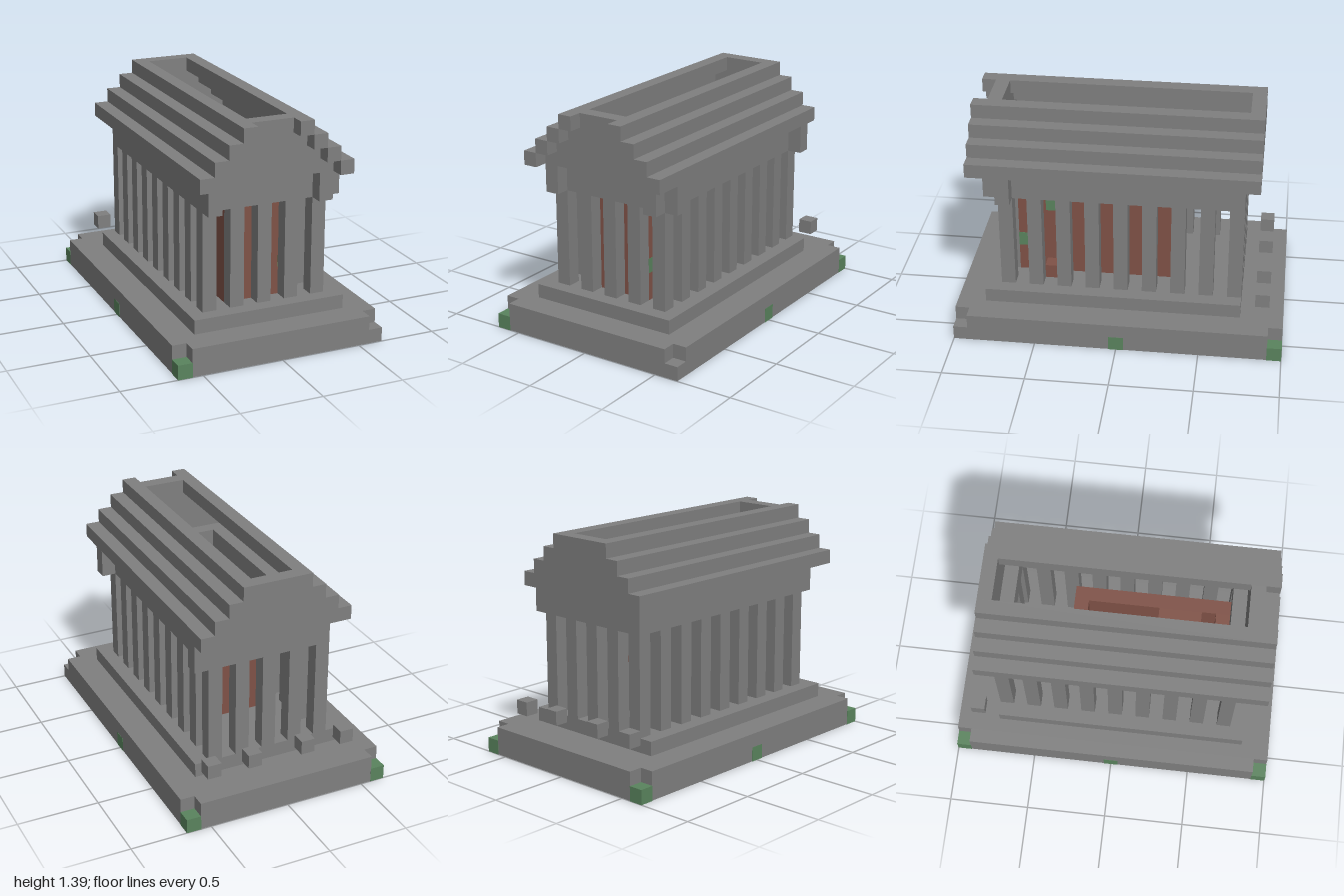
import * as THREE from 'three';

const U = 2 / 23; // edge of one building block

export function createModel() {
  const model = new THREE.Group();
  model.name = 'ruinedTemple';
  const stone = new THREE.MeshStandardMaterial({ name: 'grey stone', color: 0x808080 });
  const brick = new THREE.MeshStandardMaterial({ name: 'red brick', color: 0x805247 });
  const moss = new THREE.MeshStandardMaterial({ name: 'green moss', color: 0x5a845e });

  // Box covering an inclusive range of block indices; x and z are centred, y counts up from 0
  function blocks(name, material, [x0, x1], [y0, y1], [z0, z1], grow = 0) {
    const geometry = new THREE.BoxGeometry(
      (x1 - x0 + 1) * U + grow, (y1 - y0 + 1) * U + grow, (z1 - z0 + 1) * U + grow);
    const mesh = new THREE.Mesh(geometry, material);
    mesh.name = name;
    mesh.position.set((x0 + x1) / 2 * U, (y0 + y1 + 1) / 2 * U, (z0 + z1) / 2 * U);
    model.add(mesh);
  }
  const single = (name, material, x, y, z, grow) =>
    blocks(name, material, [x, x], [y, y], [z, z], grow);

  // Stepped base, second step notched at its corners
  blocks('baseSlab', stone, [-7, 7], [0, 0], [-11, 11]);
  blocks('baseStep', stone, [-6, 6], [1, 1], [-11, 11]);
  for (const s of [-7, 7]) blocks('baseStepSide', stone, [s, s], [1, 1], [-10, 10]);
  blocks('platform', stone, [-5, 5], [2, 2], [-8, 9]);

  // Mossy blocks at the corners, side middles and underside of the base
  const mossSpots = [
    [-7, 11], [-7, -11], [7, -11], [7, 0], [-7, 0],
    [1, -5], [-1, -7], [-3, -8], [2, -3], [4, 1], [3, 2], [6, 6], [3, 4], [-2, -4],
    [-6, -8], [-6, -7], [-5, -5], [-6, -4], [3, 8], [2, 9], [1, 4], [1, 5], [-3, 1],
    [-5, -3], [-5, -1], [-1, 10], [-4, 8], [-6, 4],
  ];
  for (const [x, z] of mossSpots) single('baseMoss', moss, x, 0, z, 0.003);

  // Colonnade around all four sides
  for (let z = -8; z <= 8; z += 2) {
    for (let x = -4; x <= 4; x += 2) {
      if (Math.abs(x) === 4 || Math.abs(z) === 8) blocks('column', stone, [x, x], [3, 9], [z, z]);
    }
  }

  // Inner chamber: side walls, back wall, front wall with a doorway, inner piers
  for (const s of [-1, 1]) {
    blocks('chamberSideWall', brick, [2 * s, 2 * s], [3, 9], [-3, 7]);
    blocks('chamberFrontWall', brick, [s, s], [3, 9], [7, 7]);
    blocks('chamberPier', brick, [s, s], [3, 9], [3, 5]);
  }
  blocks('chamberBackWall', brick, [-1, 1], [3, 9], [-3, -3]);
  single('doorLintelMoss', moss, 0, 9, 7);
  single('wallMoss', moss, 2, 5, 7, 0.003);
  single('wallMoss', moss, 2, 8, 5, 0.003);

  // Beam ring above the columns
  for (const s of [-1, 1]) {
    blocks('sideBeam', stone, [4 * s, 4 * s], [10, 11], [-8, 8]);
    blocks('endBeam', stone, [-3, 3], [10, 11], [8 * s, 8 * s]);
    blocks('frontBracket', stone, [4 * s, 4 * s], [10, 11], [9, 9]);
    blocks('sideBracket', stone, [5, 5], [10, 11], [8 * s, 8 * s]);
  }

  // Hollow stepped roof: each course narrows by one block and runs past the front gable
  for (let y = 12; y <= 15; y++) {
    const x = 17 - y;
    for (const s of [-1, 1]) {
      blocks('roofCourse', stone, [x * s, x * s], [y, y], [-9, 10]);
      blocks('gableCourse', stone, [1 - x, x - 1], [y, y], [9 * s, 9 * s]);
    }
  }

  // Loose blocks
  for (const x of [-5, -2, 2, 5]) single('looseBlock', stone, x, 3, -10);
  single('looseBrick', brick, 3, 3, 5);

  return model;
}
